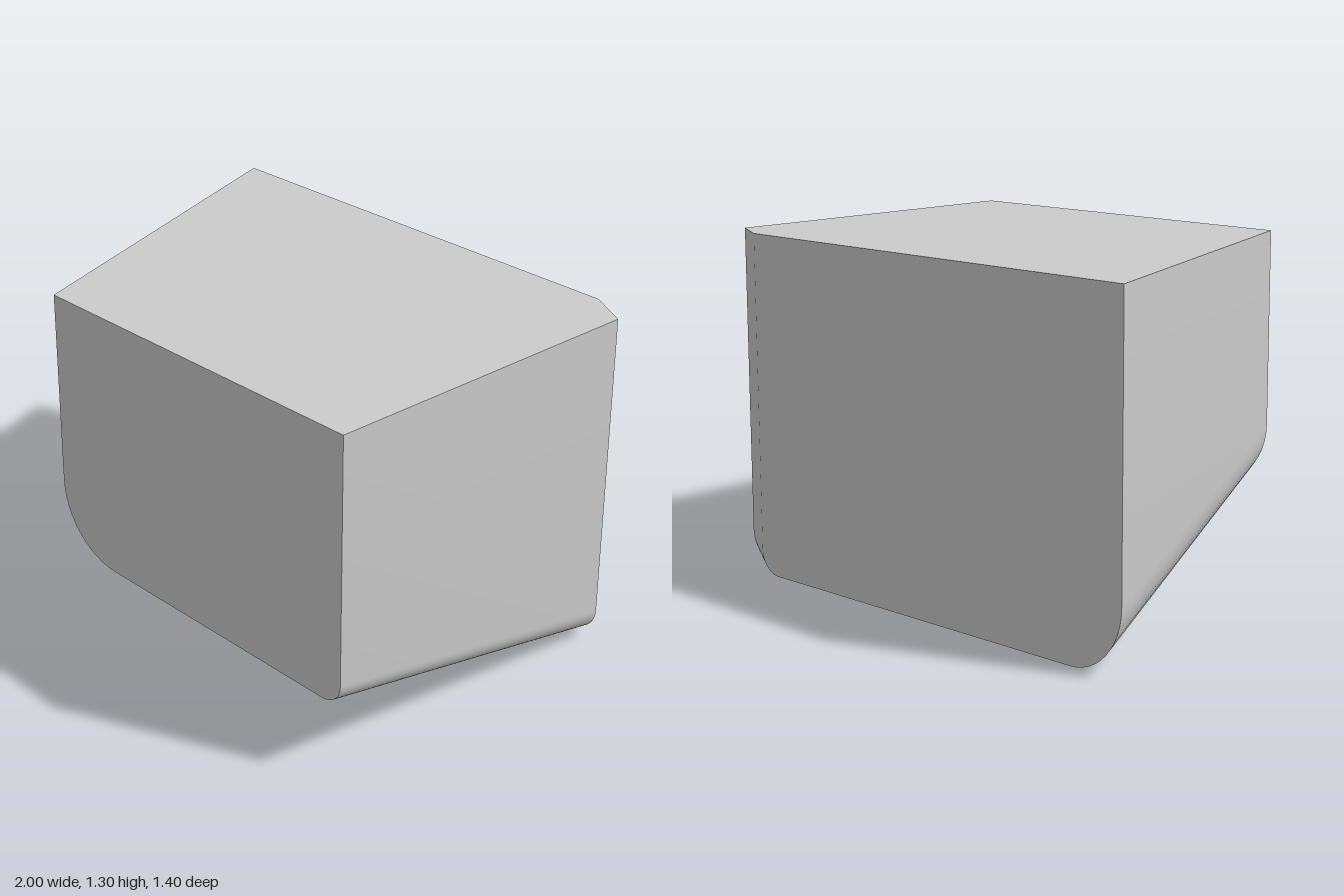
import * as THREE from 'three';
import { toCreasedNormals } from 'three/addons/utils/BufferGeometryUtils.js';

const TOP = 1.305;
const STEPS = 12;

// Quarter ellipse leaving (x0, y0) and arriving at (x1, y1);
// startsVertical tells which way the curve sets off.
function corner(x0, y0, x1, y1, startsVertical) {
  return Array.from({ length: STEPS + 1 }, (_, i) => {
    const a = (i / STEPS) * Math.PI / 2;
    const slow = 1 - Math.cos(a), fast = Math.sin(a);
    const u = startsVertical ? slow : fast;
    const v = startsVertical ? fast : slow;
    return [x0 + (x1 - x0) * u, y0 + (y1 - y0) * v];
  });
}

// Outline of the block at one depth: large left fillet, small right fillet
function section({ z, left, right }) {
  const outline = [
    [left[0], TOP],
    ...corner(...left, true),
    ...corner(...right, false),
    [right[2], TOP],
  ];
  return outline.map(([x, y]) => [x, y, z]);
}

export function createModel() {
  // Front face, start of the rear chamfer, back face
  const sections = [
    { z: 0.7, left: [-0.49, 0.56, -0.2, 0.29], right: [0.91, 0.29, 1, 0.375] },
    { z: -0.615, left: [-0.969, 0.267, -0.735, 0.018], right: [0.92, 0.03, 1, 0.125] },
    { z: -0.7, left: [-1, 0.25, -0.77, 0], right: [0.75, 0, 0.84, 0.09] },
  ].map(section);

  const positions = [];
  const triangle = (a, b, c) => positions.push(...a, ...b, ...c);
  const count = sections[0].length;

  // Walls, floor and flat top
  for (let s = 0; s < sections.length - 1; s++) {
    const a = sections[s], b = sections[s + 1];
    for (let i = 0; i < count; i++) {
      const j = (i + 1) % count;
      triangle(a[i], b[i], a[j]);
      triangle(a[j], b[i], b[j]);
    }
  }

  // Front and back faces
  const front = sections[0], back = sections[sections.length - 1];
  for (let i = 1; i < count - 1; i++) {
    triangle(front[0], front[i], front[i + 1]);
    triangle(back[0], back[i + 1], back[i]);
  }

  const geometry = new THREE.BufferGeometry();
  geometry.setAttribute('position', new THREE.Float32BufferAttribute(positions, 3));

  const block = new THREE.Mesh(
    toCreasedNormals(geometry, 0.4),
    new THREE.MeshStandardMaterial({ color: 0xcccccc }),
  );
  block.name = 'taperedBlock';

  const group = new THREE.Group();
  group.name = 'model';
  group.add(block);
  return group;
}
